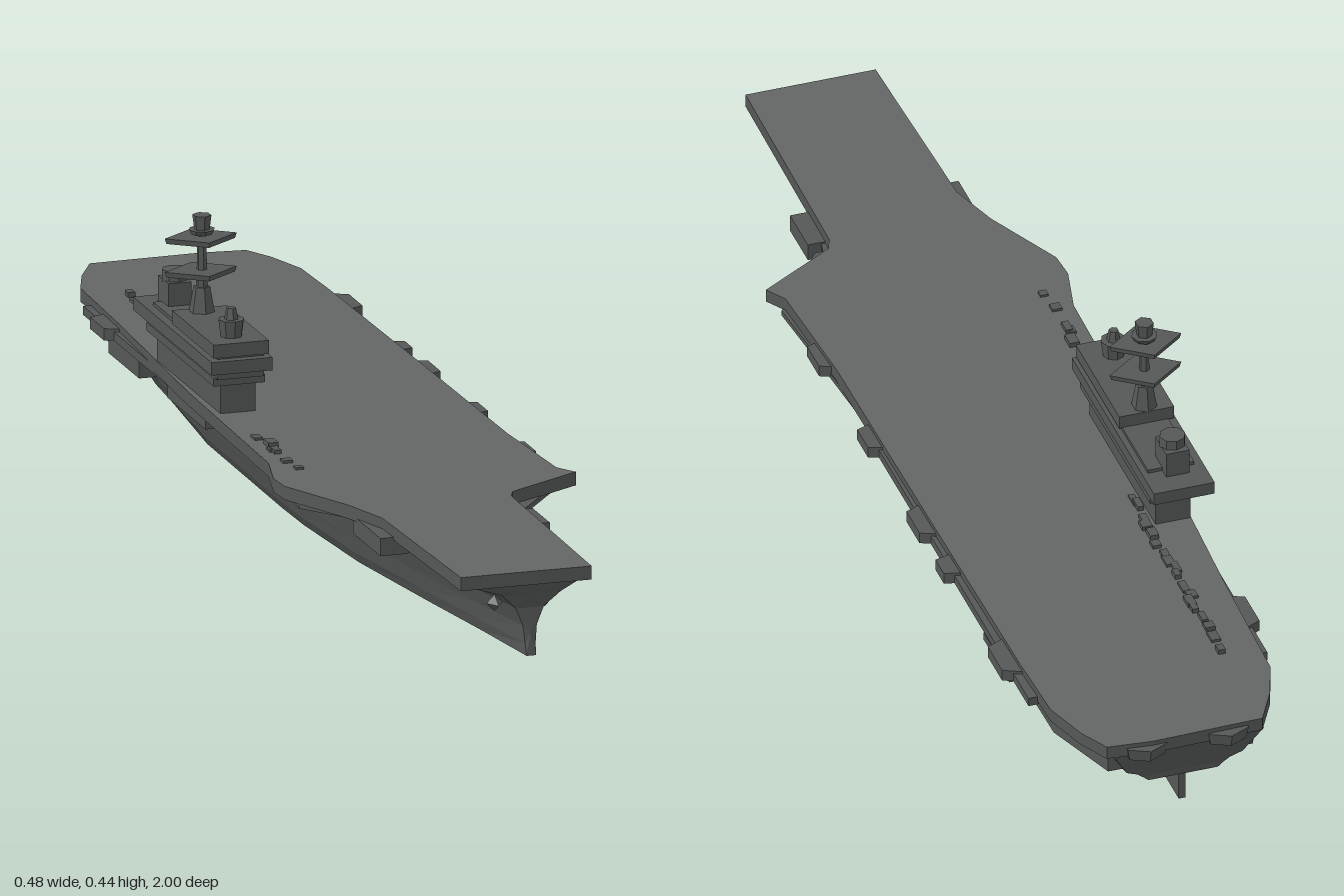
import * as THREE from 'three';

function paint(name, color) {
  const material = new THREE.MeshStandardMaterial({ color, flatShading: true });
  material.name = name;
  return material;
}
const deckGrey = paint('deck grey', 0x626564);
const hullGrey = paint('hull grey', 0x555857);
const keelBlack = paint('keel black', 0x232323);

function add(parent, name, geometry, x = 0, y = 0, z = 0, material = hullGrey) {
  const mesh = new THREE.Mesh(geometry, material);
  mesh.name = name;
  mesh.position.set(x, y, z);
  parent.add(mesh);
  return mesh;
}

// Box given by its limits on each axis
function block(parent, name, [x0, x1], [y0, y1], [z0, z1]) {
  return add(parent, name, new THREE.BoxGeometry(x1 - x0, y1 - y0, z1 - z0),
    (x0 + x1) / 2, (y0 + y1) / 2, (z0 + z1) / 2);
}

// Skin over rings listed bow to stern, each counter-clockwise seen from the bow.
// Group 0 holds the ends and sides, group 1 the bottom strip that closes each ring.
function loft(rings) {
  const p = [];
  const n = rings[0].length;
  const tri = (a, b, c) => p.push(...a, ...b, ...c);
  [rings[0], rings[rings.length - 1]].forEach((ring, end) => {
    const mid = [0, 1, 2].map(k => ring.reduce((s, v) => s + v[k], 0) / n);
    ring.forEach((v, i) => {
      const w = ring[(i + 1) % n];
      if (end) tri(mid, w, v); else tri(mid, v, w);
    });
  });
  let bottomStart = 0;
  for (let i = 0; i < n; i++) {
    const j = (i + 1) % n;
    bottomStart = p.length / 3;
    for (let r = 0; r + 1 < rings.length; r++) {
      const a = rings[r][i], b = rings[r][j], c = rings[r + 1][j], d = rings[r + 1][i];
      tri(a, d, c);
      tri(a, c, b);
    }
  }
  const g = new THREE.BufferGeometry();
  g.setAttribute('position', new THREE.Float32BufferAttribute(p, 3));
  g.addGroup(0, bottomStart, 0);
  g.addGroup(bottomStart, p.length / 3 - bottomStart, 1);
  g.computeVertexNormals();
  return g;
}

// Extruded plan outline of [x, z] points between two heights
function plate(points, y0, y1) {
  const shape = new THREE.Shape(points.map(([x, z]) => new THREE.Vector2(x, -z)));
  const g = new THREE.ExtrudeGeometry(shape, { depth: y1 - y0, bevelEnabled: false });
  g.rotateX(-Math.PI / 2);
  g.translate(0, y0, 0);
  return g;
}

// Hull stations: z, keel height, then half widths at each level
const levels = [0, 0.02, 0.05, 0.08, 0.106, 0.132];
const stations = [
  [0.96, 0, [0.008, 0.009, 0.012, 0.024, 0.05, 0.1]],
  [0.8, 0, [0.03, 0.036, 0.042, 0.053, 0.074, 0.105]],
  [0.6, 0, [0.06, 0.068, 0.076, 0.088, 0.1, 0.118]],
  [0.35, 0, [0.095, 0.106, 0.114, 0.122, 0.134, 0.15]],
  [0.11, 0, [0.112, 0.124, 0.134, 0.143, 0.15, 0.158]],
  [0, 0, [0.114, 0.126, 0.136, 0.145, 0.152, 0.16]],
  [-0.4, 0, [0.112, 0.124, 0.135, 0.145, 0.152, 0.16]],
  [-0.7, 0, [0.085, 0.103, 0.122, 0.14, 0.15, 0.16]],
  [-0.86, 0.03, [0.065, 0.08, 0.098, 0.12, 0.135, 0.15]],
  [-0.945, 0.052, [0.06, 0.068, 0.08, 0.1, 0.115, 0.13]],
];
const bowRake = [0.005, 0, -0.003, -0.003, 0.007, 0.025];
const sternRake = [0, 0, -0.003, -0.008, -0.018, -0.028];

function hullPart(first, last, low, high) {
  const rings = stations.slice(first, last + 1).map(([z, keel, w], k) => {
    const s = first + k;
    const at = (i, side) => {
      const rake = s === 0 ? bowRake[i] : s === stations.length - 1 ? sternRake[i] : 0;
      const centre = i === 5 && s < 3 ? -0.02 : -0.003;
      return [centre + side * w[i], levels[i] + keel * Math.max(0, 1 - levels[i] / 0.08), z + rake];
    };
    const ring = [];
    for (let i = low; i <= high; i++) ring.push(at(i, 1));
    for (let i = high; i >= low; i--) ring.push(at(i, -1));
    return ring;
  });
  return loft(rings);
}

export function createModel() {
  const ship = new THREE.Group();
  ship.name = 'aircraftCarrier';

  // Hull, with an open hangar bay right across the upper part
  add(ship, 'lowerHull', hullPart(0, 9, 0, 3), 0, 0, 0, [hullGrey, keelBlack]);
  add(ship, 'upperHullForward', hullPart(0, 4, 3, 5));
  add(ship, 'upperHullAft', hullPart(5, 9, 3, 5));
  block(ship, 'rudder', [-0.009, 0.003], [0, 0.07], [-0.94, -0.87]);

  // Flight deck
  const outline = [
    [-0.135, 0.998], [0.09, 0.998], [0.095, 0.56], [0.105, 0.535], [0.24, 0.455], [0.218, 0.42],
    [0.205, 0.2], [0.2, -0.3], [0.195, -0.7], [0.19, -0.84], [0.165, -0.92], [0.138, -0.972],
    [0.06, -0.98], [-0.13, -0.975], [-0.165, -0.91], [-0.19, -0.84], [-0.197, -0.6],
    [-0.215, -0.2], [-0.222, 0.25], [-0.243, 0.34], [-0.24, 0.39], [-0.175, 0.53], [-0.147, 0.62],
  ];
  add(ship, 'flightDeck', plate(outline, 0.13, 0.153), 0, 0, 0, [deckGrey, hullGrey]);
  add(ship, 'sternGallery', plate([
    [0.18, -0.66], [0.178, -0.82], [0.13, -0.955], [-0.12, -0.955], [-0.175, -0.83], [-0.182, -0.66],
  ], 0.092, 0.131));

  // Flares carrying the wide part of the deck
  for (const side of [1, -1]) {
    const rings = [[0.56, 0.1, 0.12, 0.122], [0.42, 0.11, 0.225, 0.09], [0.25, 0.13, 0.21, 0.085], [0.12, 0.14, 0.2, 0.085]]
      .map(([z, inner, outer, y]) => {
        const ring = [[side * inner, y, z], [side * outer, 0.122, z], [side * outer, 0.131, z], [side * inner, 0.131, z]];
        return side > 0 ? ring : ring.reverse();
      });
    add(ship, side > 0 ? 'leftDeckFlare' : 'rightDeckFlare', loft(rings));
  }

  // Weapon and boat platforms along the deck edge: x limits, y limits, z limits
  const sponsons = [
    [[0.085, 0.125], [0.105, 0.135], [0.58, 0.67]],
    [[-0.168, -0.12], [0.105, 0.135], [0.53, 0.675]],
    [[0.14, 0.2], [0.092, 0.106], [-0.66, -0.53]],
    [[-0.2, -0.14], [0.092, 0.125], [-0.66, -0.5]],
    [[0.15, 0.19], [0.1, 0.131], [-0.5, -0.3]],
    [[-0.2, -0.14], [0.1, 0.131], [-0.35, -0.15]],
  ];
  sponsons.forEach(([x, y, z]) => block(ship, 'sponson', x, y, z));
  const bay = (side, x, z, length) => {
    const points = [[x - 0.05, z - length], [x, z - length * 0.6], [x, z + length * 0.6], [x - 0.05, z + length]];
    add(ship, 'edgePlatform', plate(points.map(([px, pz]) => [side * px, pz]), 0.125, 0.145));
  };
  [[0.26, 0.05], [0.01, 0.045], [-0.245, 0.055], [-0.38, 0.035], [-0.66, 0.06]]
    .forEach(([z, length]) => bay(1, 0.225, z, length));
  bay(-1, 0.22, -0.66, 0.06);
  for (const side of [1, -1]) {
    // Catwalks, bow brackets and stern corners
    block(ship, 'catwalk', side > 0 ? [0.18, 0.208] : [-0.205, -0.18], [0.125, 0.14], [-0.78, -0.02]);
    const bracket = add(ship, 'bowBracket', new THREE.OctahedronGeometry(0.014), side * 0.043 - 0.012, 0.085, 0.93);
    bracket.scale.z = 1.6;
    const corner = add(ship, 'sternPlatform', new THREE.CylinderGeometry(0.04, 0.035, 0.022, 6), side * 0.07, 0.134, -0.963);
    corner.scale.z = 0.85;
  }

  // Island superstructure
  const island = new THREE.Group();
  island.name = 'island';
  ship.add(island);
  block(island, 'islandBase', [-0.205, -0.145], [0.15, 0.216], [-0.39, -0.055]);
  block(island, 'lowerGallery', [-0.22, -0.132], [0.203, 0.217], [-0.4, -0.045]);
  block(island, 'galleryCore', [-0.215, -0.135], [0.215, 0.256], [-0.38, -0.04]);
  block(island, 'middleGallery', [-0.23, -0.125], [0.228, 0.25], [-0.44, -0.025]);
  block(island, 'bridge', [-0.225, -0.13], [0.255, 0.278], [-0.25, -0.03]);

  // Forward director and aft tower
  add(island, 'forwardDirector', new THREE.CylinderGeometry(0.022, 0.018, 0.03, 8), -0.18, 0.292, -0.075);
  add(island, 'directorCap', new THREE.CylinderGeometry(0.008, 0.012, 0.02, 6), -0.18, 0.316, -0.075);
  block(island, 'aftTower', [-0.2, -0.16], [0.25, 0.295], [-0.4, -0.345]);
  add(island, 'aftTowerCap', new THREE.CylinderGeometry(0.022, 0.022, 0.02, 8), -0.18, 0.302, -0.372);

  // Mast with diamond platforms and a radar on top
  add(island, 'mastFoot', new THREE.CylinderGeometry(0.014, 0.022, 0.045, 6), -0.18, 0.298, -0.23);
  add(island, 'mast', new THREE.CylinderGeometry(0.007, 0.01, 0.13, 6), -0.18, 0.355, -0.23);
  for (const y of [0.345, 0.402]) {
    const platform = add(island, 'mastPlatform', new THREE.CylinderGeometry(0.062, 0.059, 0.009, 4), -0.182, y, -0.23);
    platform.scale.z = 0.75;
  }
  add(island, 'radarCollar', new THREE.CylinderGeometry(0.022, 0.018, 0.008, 8), -0.18, 0.414, -0.23);
  add(island, 'radar', new THREE.CylinderGeometry(0.016, 0.013, 0.024, 6), -0.18, 0.43, -0.23);

  // Deck fittings beside and ahead of the island
  let seed = 7;
  const rnd = () => (seed = (seed * 16807) % 2147483647) / 2147483647;
  const fittings = (count, x, z0, z1) => {
    for (let i = 0; i < count; i++) {
      const z = z0 + (z1 - z0) * (i + rnd()) / count;
      const h = 0.004 + 0.006 * rnd();
      add(ship, 'deckFitting', new THREE.BoxGeometry(0.01 + 0.008 * rnd(), h, 0.014 + 0.016 * rnd()),
        x + 0.012 * (rnd() - 0.5), 0.152 + h / 2, z);
    }
  };
  fittings(18, -0.13, -0.77, -0.3);
  fittings(6, -0.19, 0.08, 0.3);

  return ship;
}
